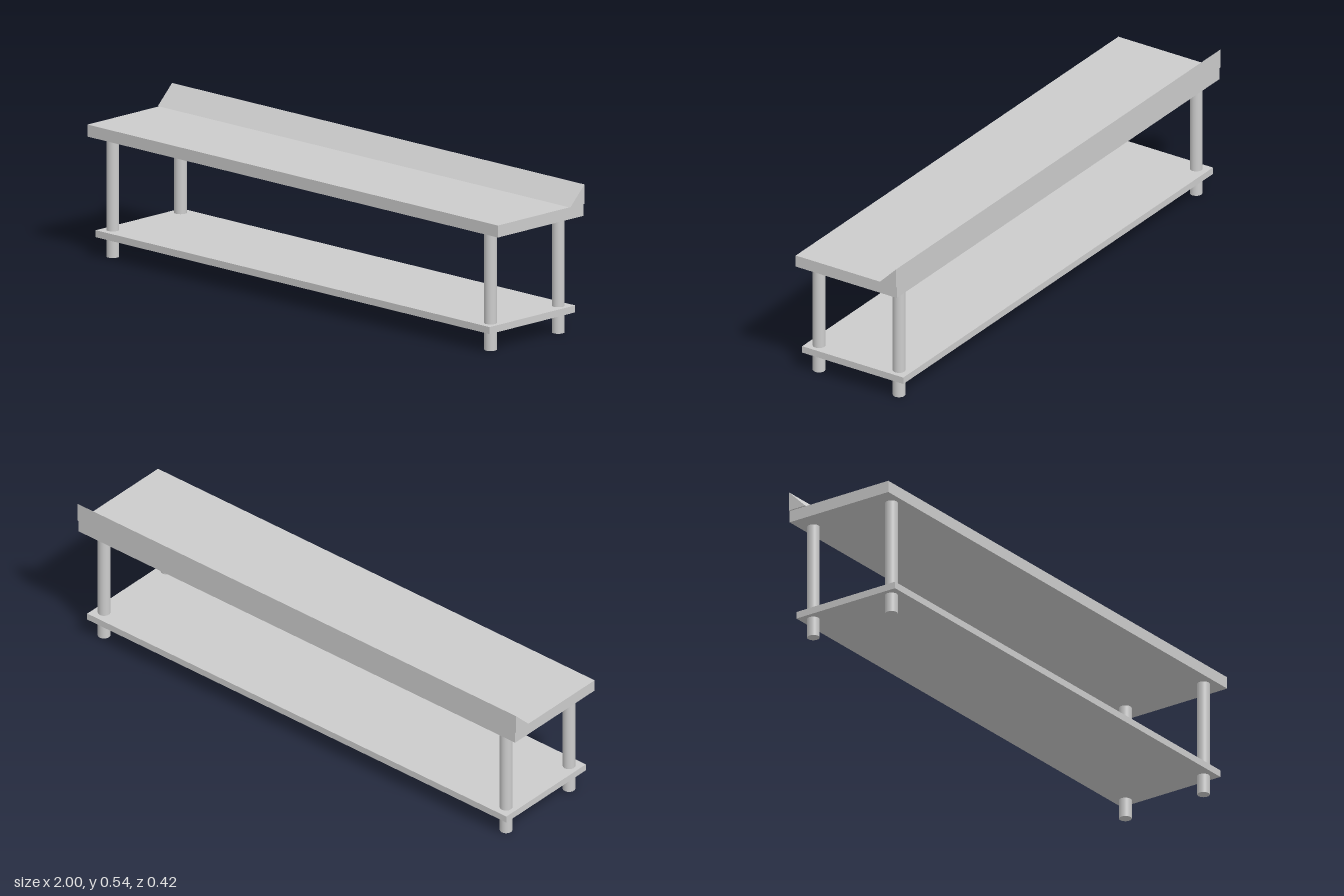
import * as THREE from 'three';

export function createModel() {
  const group = new THREE.Group();
  const material = new THREE.MeshStandardMaterial({ color: 0xcccccc });
  const depth = 0.422;

  const add = (name, geometry, x, y, z) => {
    const mesh = new THREE.Mesh(geometry, material);
    mesh.name = name;
    mesh.position.set(x, y, z);
    group.add(mesh);
    return mesh;
  };

  // Slab given by its length and its bottom and top heights
  const slab = (name, length, bottom, top) =>
    add(name, new THREE.BoxGeometry(length, top - bottom, depth), 0, (bottom + top) / 2, 0);

  slab('tableTop', 1.99, 0.422, 0.465);
  slab('lowerShelf', 1.91, 0.07, 0.095);

  // Round legs passing through the shelf
  const legHeight = 0.422;
  const legGeometry = new THREE.CylinderGeometry(0.022, 0.022, legHeight, 32);
  for (const [side, x] of [['Left', 0.916], ['Right', -0.916]]) {
    for (const [end, z] of [['front', 0.167], ['back', -0.167]]) {
      add(`${end}${side}Leg`, legGeometry, x, legHeight / 2, z);
    }
  }

  // Wedge-shaped splashback along the rear edge, slightly longer than the top
  const wedge = new THREE.Shape([
    new THREE.Vector2(0, 0),
    new THREE.Vector2(0.07, 0),
    new THREE.Vector2(0.07, 0.07),
  ]);
  const wedgeGeometry = new THREE.ExtrudeGeometry(wedge, { depth: 2, bevelEnabled: false });
  wedgeGeometry.translate(-0.07, 0, -1).rotateY(Math.PI / 2);
  add('splashback', wedgeGeometry, 0, 0.465, -depth / 2);

  return group;
}
